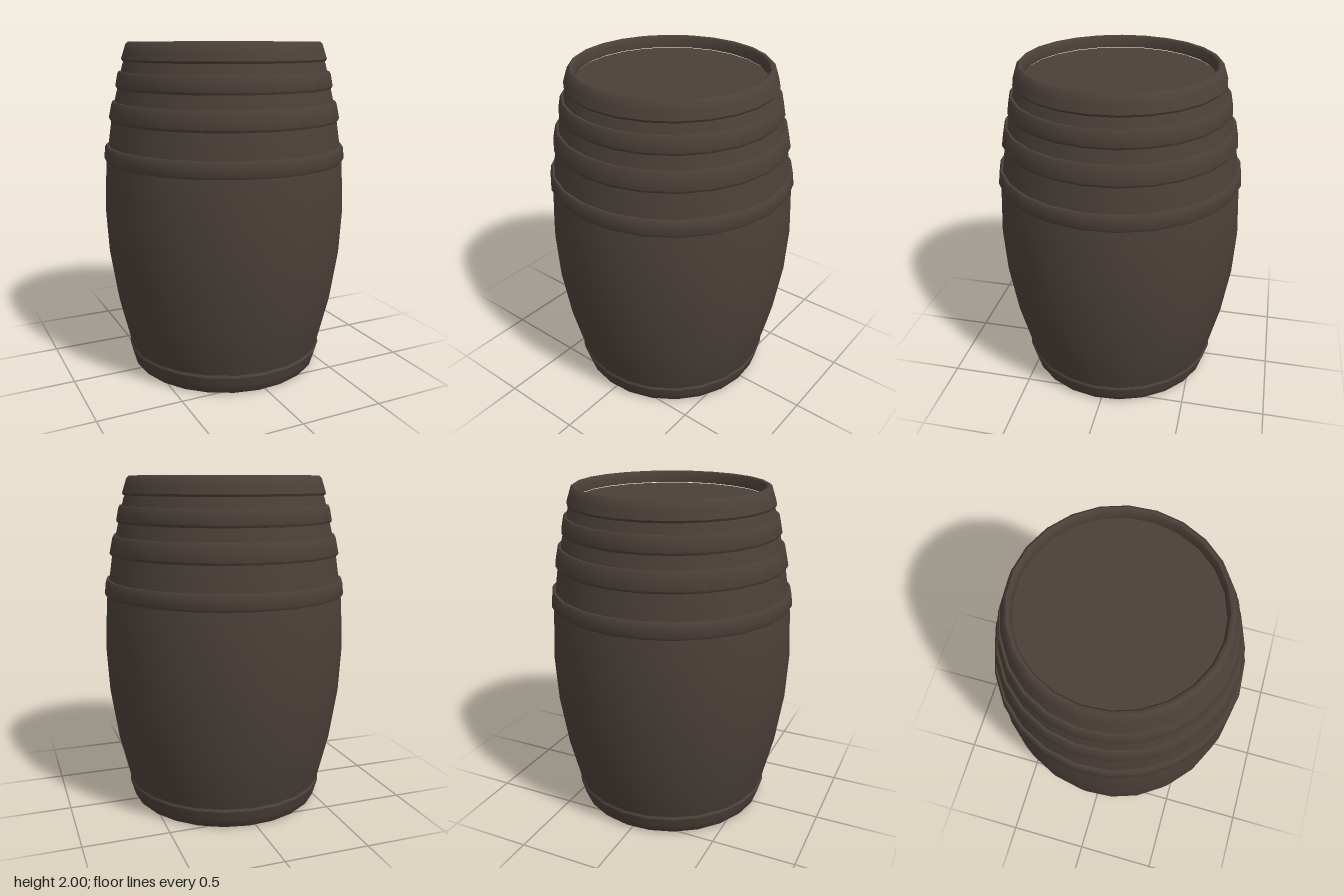
import * as THREE from 'three';
import { toCreasedNormals } from 'three/addons/utils/BufferGeometryUtils.js';

const SIDES = 24;
const START = THREE.MathUtils.degToRad(11);

export function createModel() {
  const group = new THREE.Group();
  group.name = 'barrel';
  const wood = new THREE.MeshStandardMaterial({ color: 0x4b4039 });
  wood.name = 'dark brown';

  // Turn a profile of [radius, height] pairs, listed upwards on the outside
  const turn = (name, profile) => {
    const points = profile.map(([r, y]) => new THREE.Vector2(r, y));
    const lathe = new THREE.LatheGeometry(points, SIDES, START, Math.PI * 2);
    const mesh = new THREE.Mesh(toCreasedNormals(lathe, 0.7), wood);
    mesh.name = name;
    group.add(mesh);
  };

  // Bulging staves
  turn('staves', [
    [0.595, 0.10], [0.607, 0.13], [0.675, 0.41], [0.722, 0.72], [0.737, 1.0],
    [0.722, 1.28], [0.675, 1.59], [0.607, 1.87], [0.595, 1.90],
  ]);

  // Rounded end rims, mirrored top and bottom
  const rim = [
    [0.545, 0.08], [0.545, 0.02], [0.555, 0.004], [0.57, 0],
    [0.585, 0.015], [0.598, 0.06], [0.613, 0.112], [0.606, 0.127], [0.59, 0.127],
  ];
  turn('bottomRim', rim);
  turn('topRim', rim.map(([r, y]) => [r, 2 - y * 0.88]).reverse());

  // Recessed ends
  turn('bottomEnd', [[0, 0.08], [0.55, 0.08]]);
  turn('lid', [[0.55, 1.925], [0, 1.925]]);

  // Hoops: bottom height, top height, bottom radius, top radius
  const hoops = [
    [1.30, 1.395, 0.733, 0.724],
    [1.54, 1.655, 0.697, 0.677],
    [1.73, 1.83, 0.652, 0.636],
  ];
  for (const [y0, y1, r0, r1] of hoops) {
    turn('hoop', [
      [r0 - 0.04, y0], [r0 - 0.008, y0], [r0, y0 + 0.015],
      [r1 + 0.002, y1 - 0.015], [r1 - 0.006, y1], [r1 - 0.05, y1],
    ]);
  }
  return group;
}
